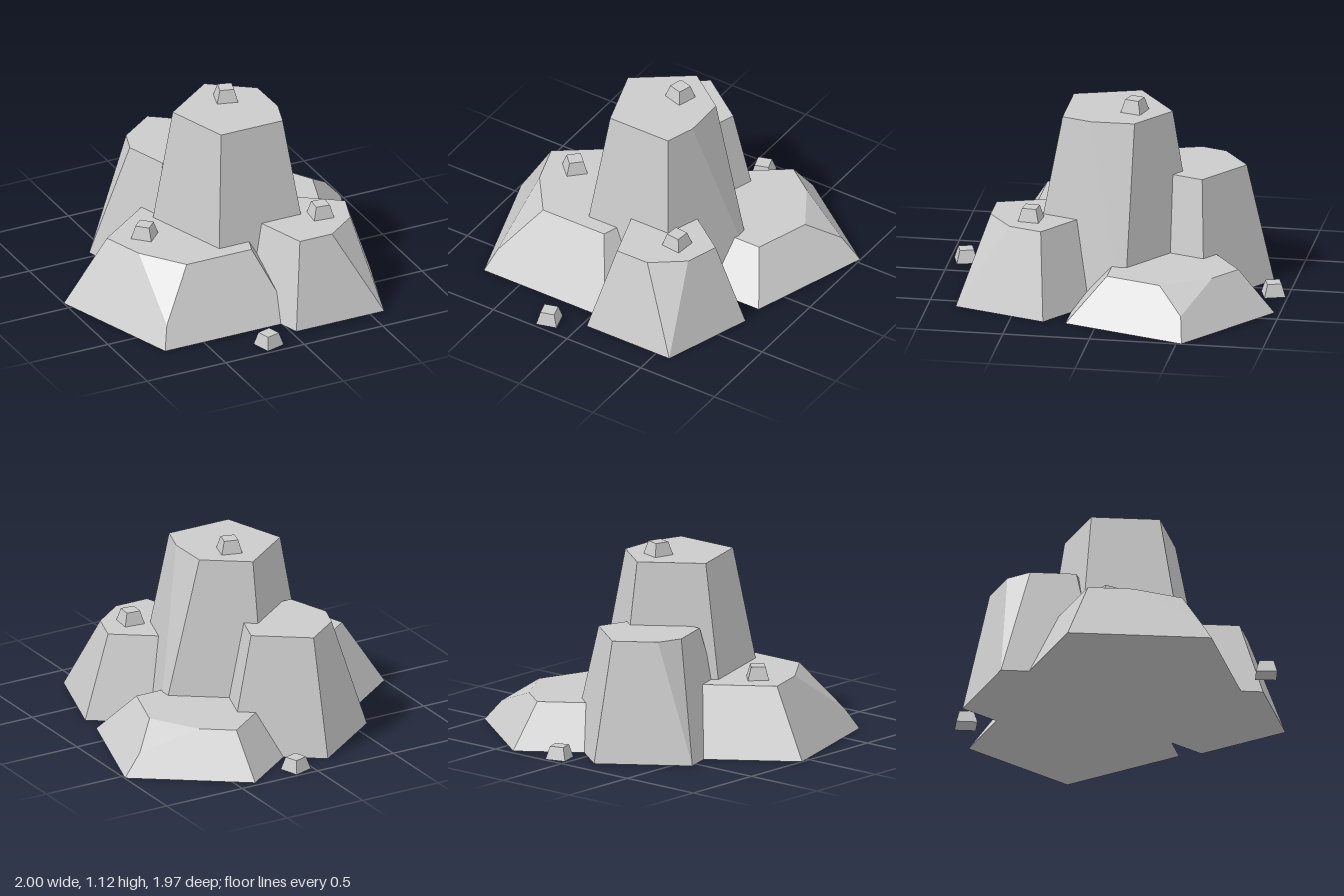
import * as THREE from 'three';
import { ConvexGeometry } from 'three/addons/geometries/ConvexGeometry.js';

const stone = new THREE.MeshStandardMaterial({ color: 0xcccccc, flatShading: true });

// Regular pentagon at height y; corner order: back, right, front right, front left, left (seen from above)
function pentagon([cx, cz, r], y) {
  return Array.from({ length: 5 }, (_, i) => {
    const a = (i * Math.PI * 2) / 5;
    return new THREE.Vector3(cx + r * Math.sin(a), y, cz - r * Math.cos(a));
  });
}

// Tapered pentagonal boulder with one upper corner chipped off.
// chip: corner index, then how far the cut runs to the previous corner, the next corner and down the edge
function boulder({ name, base, top, height, chip: [corner, toPrev, toNext, down] }) {
  const lower = pentagon(base, 0);
  const upper = pentagon(top, height);
  const tip = upper[corner];
  const cut = [
    tip.clone().lerp(upper[(corner + 4) % 5], toPrev),
    tip.clone().lerp(upper[(corner + 1) % 5], toNext),
  ];
  if (down < 1) cut.push(tip.clone().lerp(lower[corner], down));
  const points = [...lower, ...upper.filter((p) => p !== tip), ...cut];
  const mesh = new THREE.Mesh(new ConvexGeometry(points), stone);
  mesh.name = name;
  return mesh;
}

// Small square pebble with tapered sides
function pebble([name, x, y, z, degrees]) {
  const h = 0.075;
  const geometry = new THREE.CylinderGeometry(0.058, 0.086, h, 4);
  geometry.rotateY(Math.PI / 4);
  const mesh = new THREE.Mesh(geometry, stone);
  mesh.name = name;
  mesh.position.set(x, y + h / 2, z);
  mesh.rotation.y = THREE.MathUtils.degToRad(degrees);
  return mesh;
}

export function createModel() {
  const group = new THREE.Group();
  group.name = 'rockPile';

  // base and top are [centre x, centre z, radius]
  const boulders = [
    { name: 'centreBoulder', base: [0.03, 0.04, 0.53], top: [0.025, 0.014, 0.334], height: 1.05, chip: [1, 0.22, 0.54, 1] },
    { name: 'frontRightBoulder', base: [-0.334, 0.154, 0.7], top: [-0.338, 0.135, 0.439], height: 0.39, chip: [3, 0.2, 0.5, 0.69] },
    { name: 'backLeftBoulder', base: [0.395, -0.335, 0.633], top: [0.396, -0.362, 0.398], height: 0.25, chip: [1, 0.55, 0.28, 0.5] },
    { name: 'backRightBoulder', base: [-0.14, -0.4, 0.478], top: [-0.139, -0.416, 0.304], height: 0.69, chip: [4, 0.26, 0.27, 1] },
    { name: 'frontLeftBoulder', base: [0.31, 0.455, 0.476], top: [0.306, 0.441, 0.295], height: 0.48, chip: [2, 0.42, 0.41, 1] },
  ];
  boulders.forEach((b) => group.add(boulder(b)));

  // Pebbles resting on the boulders and on the ground: x, y, z, turn
  const pebbles = [
    ['centrePebble', 0.053, 1.05, -0.105, -16],
    ['frontRightPebble', -0.55, 0.39, 0.067, -45],
    ['frontLeftPebble', 0.384, 0.48, 0.44, -6],
    ['frontGroundPebble', -0.18, 0, 0.907, 16],
    ['backGroundPebble', 0.093, 0, -0.912, 18],
  ];
  pebbles.forEach((p) => group.add(pebble(p)));

  return group;
}
